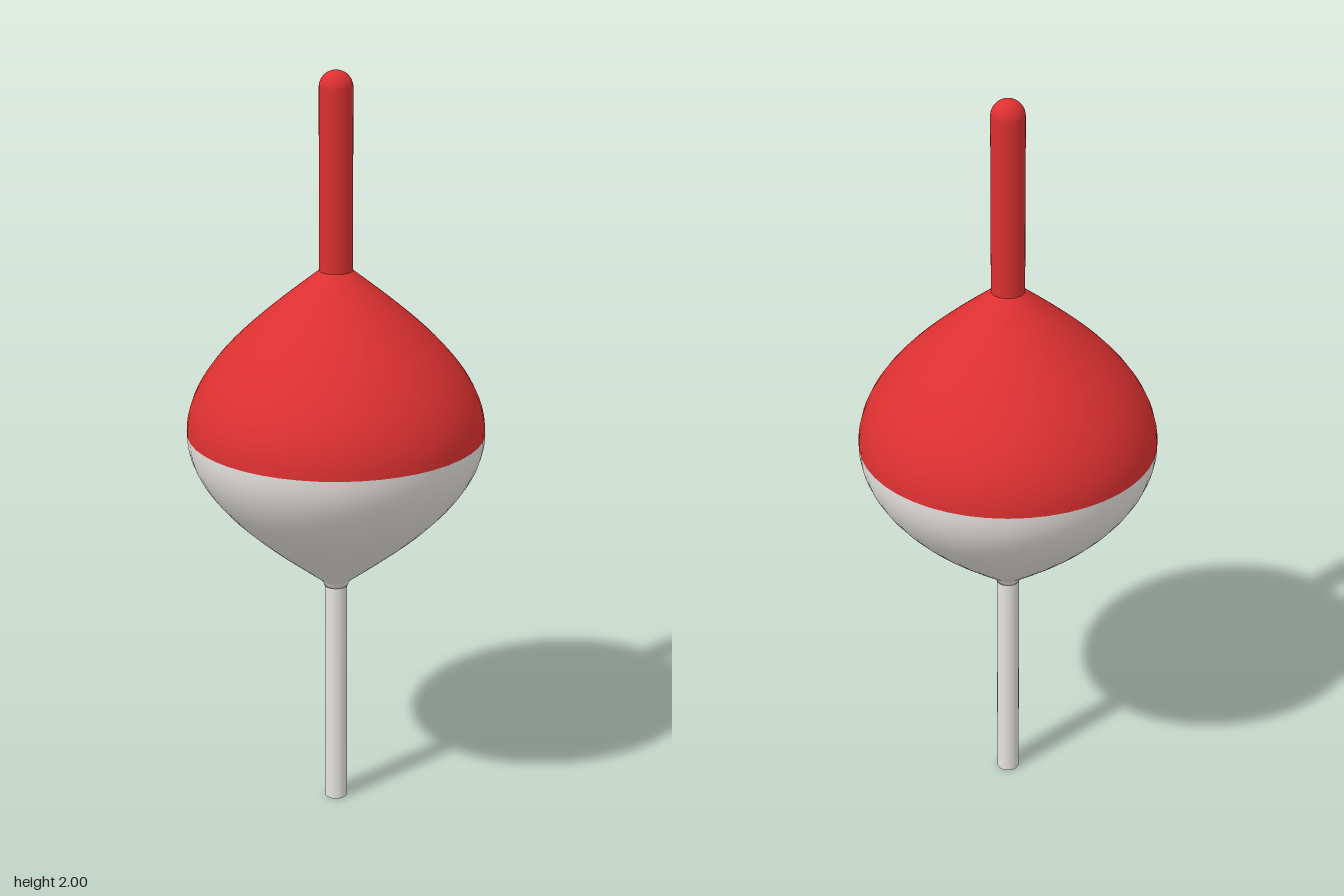
import * as THREE from 'three';

const SEGMENTS = 48;
const EQUATOR = 1.06;
const RADIUS = 0.388;

// Cosine bulge from the equator to a narrow neck, listed from bottom to top
function bulge(neckY, neckR, steps = 20) {
  const points = [];
  for (let i = 0; i <= steps; i++) {
    const t = i / steps;
    points.push(new THREE.Vector2(
      neckR + (RADIUS - neckR) * Math.cos(t * Math.PI / 2),
      EQUATOR + (neckY - EQUATOR) * t
    ));
  }
  return neckY < EQUATOR ? points.reverse() : points;
}

export function createModel() {
  const red = new THREE.MeshStandardMaterial({ name: 'red paint', color: 0xdc3030 });
  const white = new THREE.MeshStandardMaterial({ name: 'off-white paint', color: 0xe6e4df });
  const group = new THREE.Group();
  group.name = 'fishing float';

  const add = (name, geometry, material, y = 0) => {
    const mesh = new THREE.Mesh(geometry, material);
    mesh.name = name;
    mesh.position.y = y;
    group.add(mesh);
  };
  const lathe = (points, segments = SEGMENTS) => new THREE.LatheGeometry(points, segments);

  // Two-coloured body
  add('upperBody', lathe(bulge(1.492, 0.04)), red);
  add('lowerBody', lathe(bulge(0.645, 0.043)), white);

  // Small tapered collar closing the body around the stem
  add('collar', lathe([
    new THREE.Vector2(0, 0.625),
    new THREE.Vector2(0.031, 0.625),
    new THREE.Vector2(0.035, 0.635),
    new THREE.Vector2(0.043, 0.645),
  ]), white);

  // Lower stem
  add('stem', new THREE.CylinderGeometry(0.03, 0.03, 0.65, 24), white, 0.325);

  // Round-tipped antenna
  const tipR = 0.043;
  const antenna = [new THREE.Vector2(0, 1.485), new THREE.Vector2(tipR, 1.485), new THREE.Vector2(tipR, 1.49)];
  for (let i = 0; i <= 10; i++) {
    const a = i / 10 * Math.PI / 2;
    antenna.push(new THREE.Vector2(i === 10 ? 0 : tipR * Math.cos(a), 2 - tipR + tipR * Math.sin(a)));
  }
  add('antenna', lathe(antenna, 32), red);

  return group;
}
